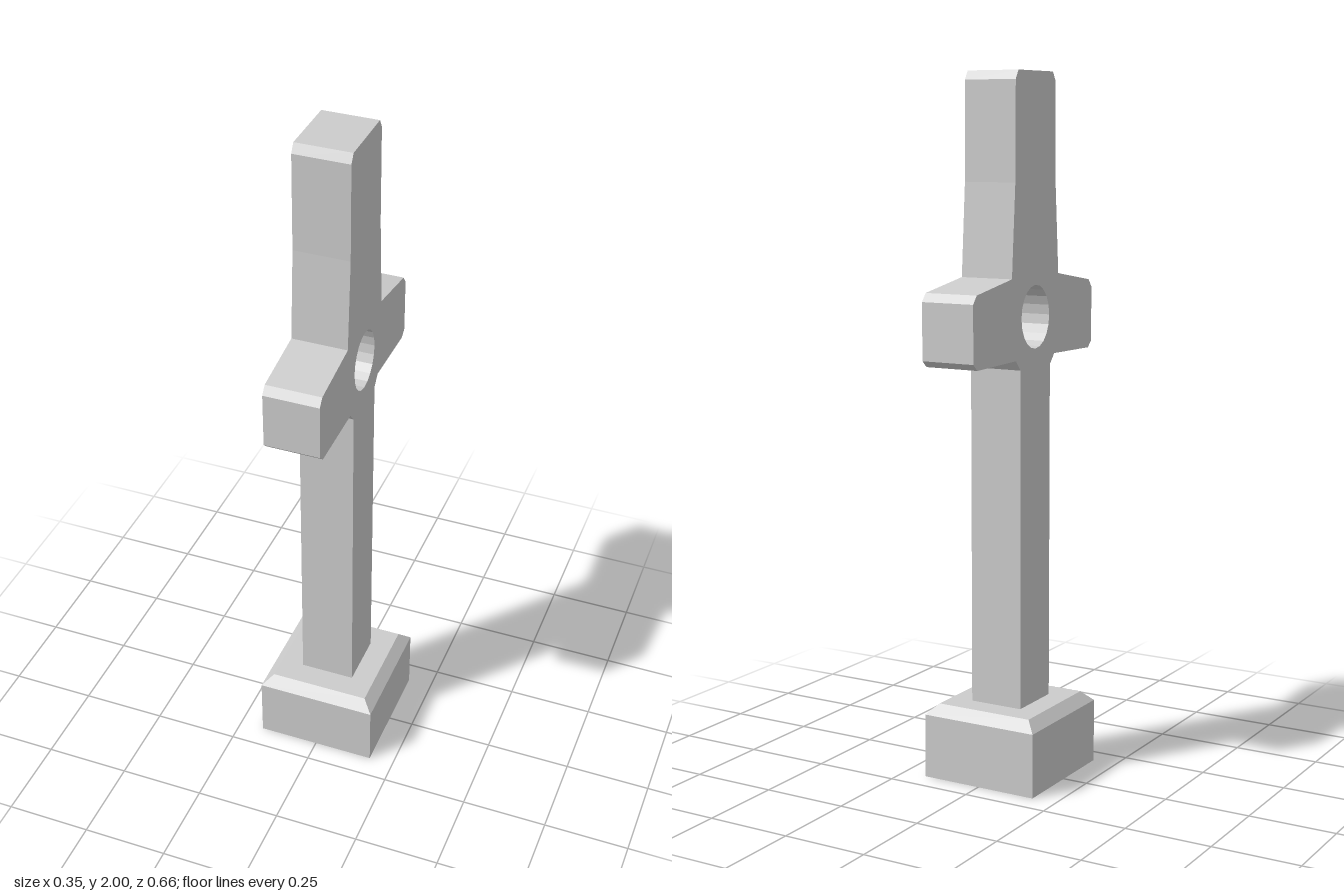
import * as THREE from 'three';

const material = new THREE.MeshStandardMaterial({ color: 0xcccccc, flatShading: true, side: THREE.DoubleSide });

// Box whose top face is inset on all four sides
function taperedBox(w, h, d, inset, y) {
  const g = new THREE.BoxGeometry(w, h, d);
  const p = g.attributes.position;
  for (let i = 0; i < p.count; i++) {
    if (p.getY(i) > 0) {
      p.setX(i, p.getX(i) - Math.sign(p.getX(i)) * inset);
      p.setZ(i, p.getZ(i) - Math.sign(p.getZ(i)) * inset);
    }
  }
  g.translate(0, y + h / 2, 0);
  g.computeVertexNormals();
  return g;
}

function add(group, name, geometry) {
  const mesh = new THREE.Mesh(geometry, material);
  mesh.name = name;
  group.add(mesh);
}

export function createModel() {
  const model = new THREE.Group();
  model.name = 'crossPost';

  // Plinth with a chamfered top
  add(model, 'plinth', new THREE.BoxGeometry(0.354, 0.185, 0.366).translate(0, 0.0925, 0));
  add(model, 'plinthChamfer', taperedBox(0.354, 0.03, 0.366, 0.03, 0.185));

  // Half outline of shaft, arm and head, mirrored to the other side
  const half = [
    [0.083, 0.2], [0.083, 1.185], [0.108, 1.214], [0.312, 1.21], [0.332, 1.228],
    [0.332, 1.387], [0.314, 1.41], [0.13, 1.44], [0.112, 1.7], [0.11, 1.975], [0.095, 2],
  ];
  const mirrored = half.map(([u, v]) => [-u, v]).reverse();
  const shape = new THREE.Shape([...half, ...mirrored].map(([u, v]) => new THREE.Vector2(u, v)));

  // Oval eye through the crossing
  const eye = [];
  for (let i = 0; i < 20; i++) {
    const a = (i / 20) * Math.PI * 2;
    eye.push(new THREE.Vector2(Math.cos(a) * 0.078, 1.327 + Math.sin(a) * 0.089));
  }
  shape.holes.push(new THREE.Path(eye));

  const cross = new THREE.ExtrudeGeometry(shape, { depth: 0.16, bevelEnabled: false });
  cross.translate(0, 0, -0.08).rotateY(Math.PI / 2);
  add(model, 'cross', cross);

  return model;
}
